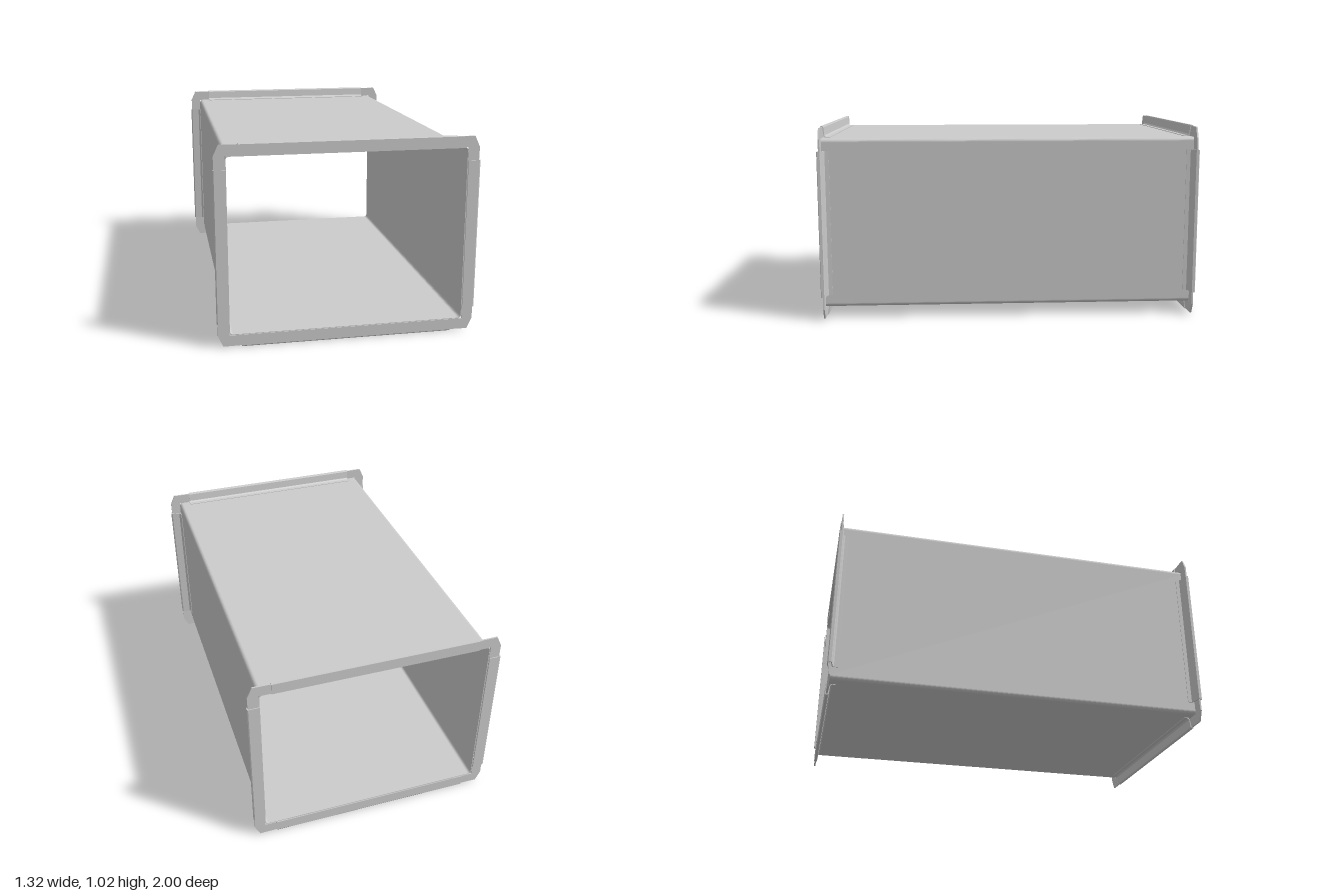
import * as THREE from 'three';

const HW = 0.6, HH = 0.45, CY = 0.51, LIP = 0.058; // duct half width, half height, centre, flange height

function roundedRect(target, w, h, r) {
  target.moveTo(-w + r, -h);
  target.lineTo(w - r, -h).absarc(w - r, -h + r, r, -Math.PI / 2, 0);
  target.lineTo(w, h - r).absarc(w - r, h - r, r, 0, Math.PI / 2);
  target.lineTo(-w + r, h).absarc(-w + r, h - r, r, Math.PI / 2, Math.PI);
  target.lineTo(-w, -h + r).absarc(-w + r, -h + r, r, Math.PI, Math.PI * 1.5);
  return target;
}

export function createModel() {
  const model = new THREE.Group();
  const mat = new THREE.MeshStandardMaterial({ color: 0xcccccc, side: THREE.DoubleSide });

  // Thin sheet duct, open at both ends
  const wall = roundedRect(new THREE.Shape(), HW, HH, 0.02);
  wall.holes.push(roundedRect(new THREE.Path(), HW - 0.004, HH - 0.004, 0.016));
  const ductGeo = new THREE.ExtrudeGeometry(wall, { depth: 1.976, bevelEnabled: false, curveSegments: 6 });
  ductGeo.translate(0, 0, -0.988);
  const duct = new THREE.Mesh(ductGeo, mat);
  duct.name = 'duct';
  duct.position.y = CY;
  model.add(duct);

  // Folded rail section: foot on the duct, sloping back, rolled outer edge, flat face
  // (x = position along the duct, y = distance out from the duct wall)
  const railShape = (face) => new THREE.Shape([
    [0.945, 0], [0.945, 0.003], [0.966, 0.004], [0.973, 0.012], [0.978, LIP - 0.004],
    [0.982, LIP + 0.002], [face - 0.003, LIP + 0.002], [face, LIP - 0.003], [face, -0.002],
    [face - 0.004, -0.002], [face - 0.004, LIP - 0.005], [0.983, LIP - 0.005],
    [0.977, 0.011], [0.97, 0],
  ].map(([x, y]) => new THREE.Vector2(x, y)));

  // Corner plate: L shape with a clipped outer corner, arms tucked inside the rails
  const cornerShape = new THREE.Shape([
    [HW - 0.12, HH], [HW, HH], [HW, HH - 0.12],
    [HW + LIP - 0.004, HH - 0.12], [HW + LIP - 0.002, HH], [HW + 0.03, HH + LIP - 0.002],
    [HW - 0.12, HH + LIP - 0.004],
  ].map(([x, y]) => new THREE.Vector2(x, y)));
  const cornerGeo = new THREE.ExtrudeGeometry(cornerShape, { depth: 0.008, bevelEnabled: false });
  cornerGeo.translate(0, 0, 0.983);

  function makeFlange(name) {
    const flange = new THREE.Group();
    flange.name = name;
    flange.position.y = CY;
    for (let k = 0; k < 4; k++) {
      const upright = k % 2 === 1;
      const length = upright ? 0.77 : 1.075;
      const geo = new THREE.ExtrudeGeometry(railShape(upright ? 1 : 0.995), { depth: length, bevelEnabled: false });
      geo.translate(0, 0, -length / 2);
      geo.rotateY(-Math.PI / 2);
      geo.translate(0, upright ? HW : HH, 0);
      geo.rotateZ(k * Math.PI / 2);
      const rail = new THREE.Mesh(geo, mat);
      rail.name = upright ? 'sideRail' : 'crossRail';
      flange.add(rail);
    }
    for (const sx of [1, -1]) for (const sy of [1, -1]) {
      const corner = new THREE.Mesh(cornerGeo, mat);
      corner.name = 'cornerPlate';
      corner.scale.set(sx, sy, 1);
      flange.add(corner);
    }
    return flange;
  }

  // Matching flanges on both ends
  const back = makeFlange('backFlange');
  back.rotation.y = Math.PI;
  model.add(makeFlange('frontFlange'), back);
  return model;
}
